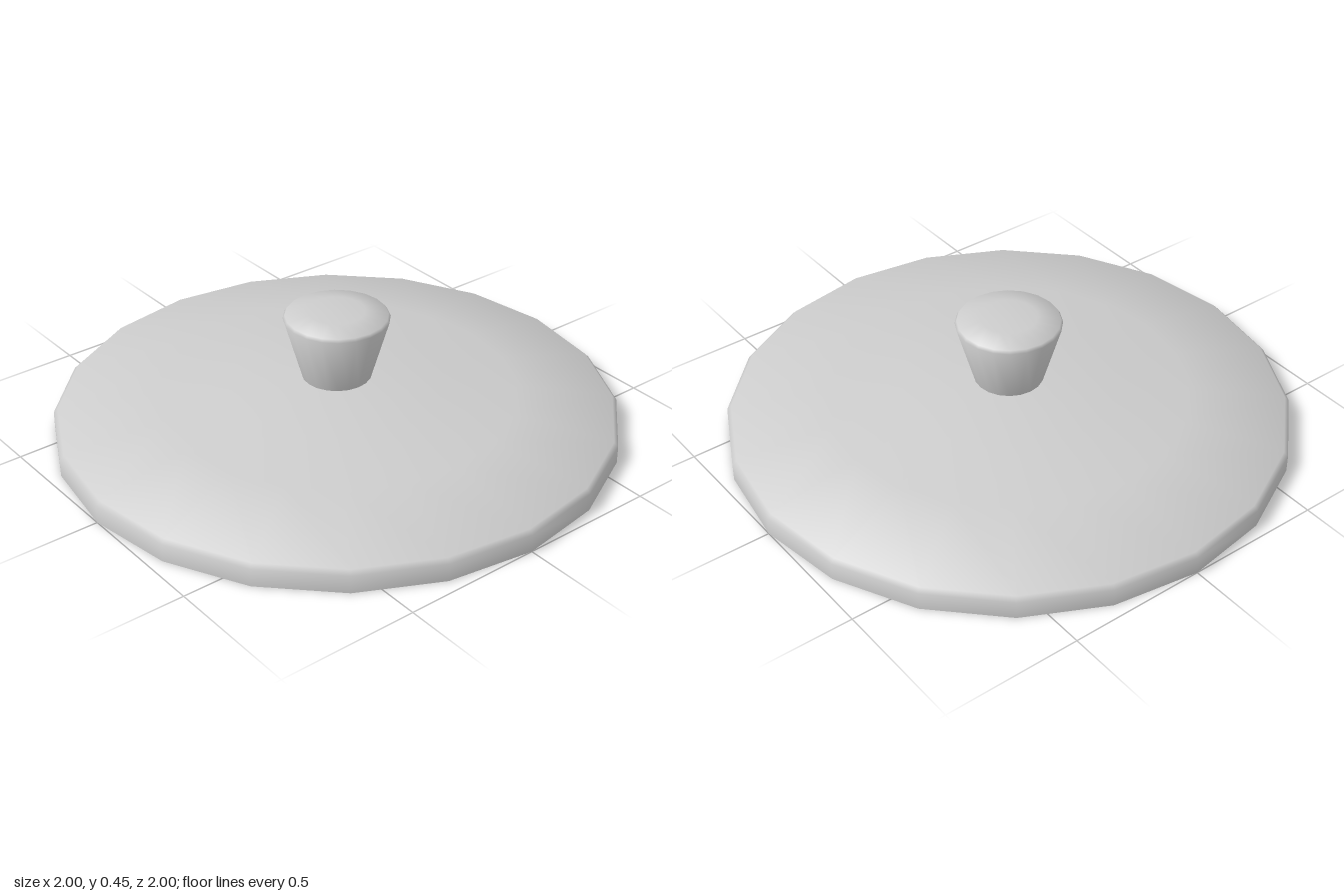
import * as THREE from 'three';
import { toCreasedNormals } from 'three/addons/utils/BufferGeometryUtils.js';

const SIDES = 20;

// Revolve an [radius, height] profile; soft bevels, sharp corners.
function turned(name, profile, material) {
  const points = profile.map(([r, y]) => new THREE.Vector2(r, y));
  const geometry = toCreasedNormals(new THREE.LatheGeometry(points, SIDES), 0.9);
  const mesh = new THREE.Mesh(geometry, material);
  mesh.name = name;
  return mesh;
}

export function createModel() {
  const group = new THREE.Group();
  group.name = 'lid';
  const material = new THREE.MeshStandardMaterial({ color: 0xcccccc });

  // Shallow domed shell: hollow underside, flat rim, bevelled edge, top
  group.add(turned('lidDome', [
    [0, 0.16], [0.12, 0.16], [0.38, 0.135], [0.95, 0.04], [0.955, 0],
    [1, 0], [1, 0.065], [0.985, 0.08], [0.64, 0.135], [0.38, 0.175], [0.12, 0.2], [0, 0.2],
  ], material));

  // Tapered knob with a slightly crowned top
  group.add(turned('knob', [
    [0, 0.19], [0.12, 0.19], [0.123, 0.2], [0.187, 0.425], [0.18, 0.436], [0.1, 0.45], [0, 0.45],
  ], material));

  return group;
}
